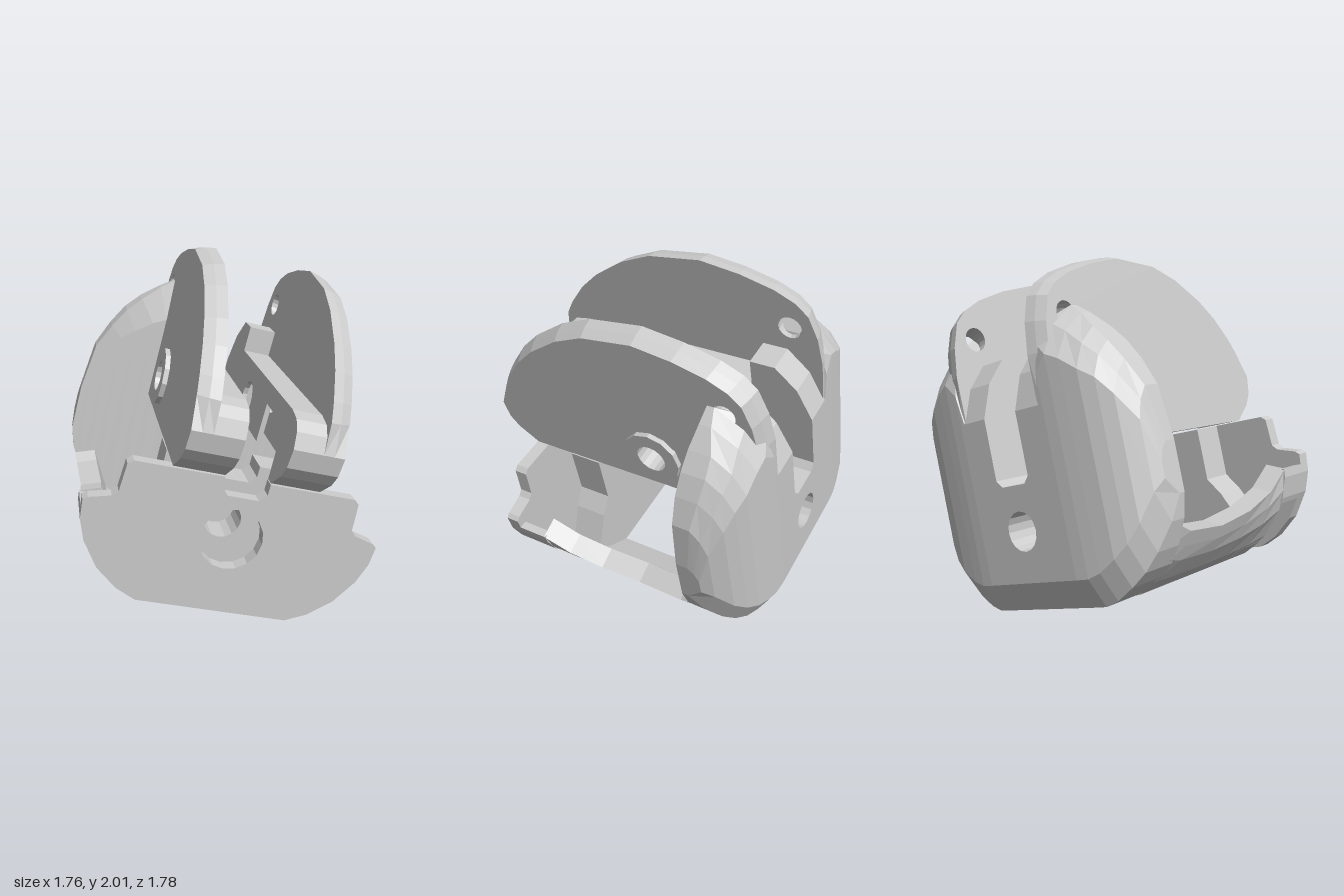
import * as THREE from 'three';

const mat = new THREE.MeshStandardMaterial({ color: 0xcccccc, flatShading: true, side: THREE.DoubleSide });

function shapeOf(points, holes = []) {
  const s = new THREE.Shape(points.map(p => new THREE.Vector2(p[0], p[1])));
  for (const [x, y, r] of holes) {
    const h = new THREE.Path();
    h.absarc(x, y, r, 0, Math.PI * 2, true);
    s.holes.push(h);
  }
  return s;
}

// Outline in (u, v) extruded from z0 to z1
function slabZ(points, z0, z1, holes) {
  return new THREE.ExtrudeGeometry(shapeOf(points, holes), { depth: z1 - z0, bevelEnabled: false, curveSegments: 8 })
    .translate(0, 0, z0);
}

// Outline in (z, v) extruded sideways from u0 to u1
function slabU(points, u0, u1, holes = [], steps = 1) {
  const s = shapeOf(points.map(p => [-p[0], p[1]]), holes.map(h => [-h[0], h[1], h[2]]));
  return new THREE.ExtrudeGeometry(s, { depth: u1 - u0, steps, bevelEnabled: false, curveSegments: 8 })
    .rotateY(Math.PI / 2).translate(u0, 0, 0);
}

// Closed loft through rings of equal point count, with fan caps
function loft(rings) {
  const n = rings[0].length, idx = [];
  for (let i = 0; i + 1 < rings.length; i++)
    for (let j = 0; j < n; j++) {
      const a = i * n + j, b = i * n + (j + 1) % n;
      idx.push(a, b, b + n, a, b + n, a + n);
    }
  const last = (rings.length - 1) * n;
  for (let j = 1; j < n - 1; j++) idx.push(0, j + 1, j, last, last + j, last + j + 1);
  const g = new THREE.BufferGeometry();
  g.setAttribute('position', new THREE.Float32BufferAttribute(rings.flat(2), 3));
  g.setIndex(idx);
  g.computeVertexNormals();
  return g;
}

// Mirror across u = 0, restoring the corner order
function mirrored(g) {
  const m = g.index ? g.toNonIndexed() : g.clone();
  const p = m.attributes.position;
  for (let i = 0; i < p.count; i += 3) {
    const v = [0, 2, 1].map(k => [-p.getX(i + k), p.getY(i + k), p.getZ(i + k)]);
    v.forEach((c, k) => p.setXYZ(i + k, ...c));
  }
  m.computeVertexNormals();
  return m;
}

const symmetric = half => [...half, ...half.slice().reverse().map(([u, v]) => [-u, v])];

// Lower outer curve shared by the front plate and side walls
const curve = [[0.44, -0.445], [0.56, -0.39], [0.69, -0.285], [0.79, -0.14], [0.835, -0.02], [0.845, 0.09]];
function outerU(v) {
  for (let i = 1; i < curve.length; i++) {
    const [u0, v0] = curve[i - 1], [u1, v1] = curve[i];
    if (v <= v1) return u0 + (u1 - u0) * (v - v0) / (v1 - v0);
  }
  return 0.845;
}

export function createModel() {
  const group = new THREE.Group(), body = new THREE.Group();
  body.name = 'body';
  group.add(body);
  const add = (name, g) => {
    const m = new THREE.Mesh(g, mat);
    m.name = name;
    body.add(m);
  };
  const pair = (name, g) => {
    add(name + 'Left', g);
    add(name + 'Right', mirrored(g));
  };

  // Front plate with stepped shoulders, centre notch and round recess
  const notch = [[0.42, 0.354], [0.13, 0.354], [0.13, 0.29], [0.09, 0.25]];
  add('frontPlate', slabZ(symmetric([...curve, [0.82, 0.11], [0.70, 0.14], [0.67, 0.17], [0.66, 0.33], [0.63, 0.354], ...notch]),
    0.63, 0.71, [[0, 0, 0.18]]));

  // Cross wall behind the strap slot
  add('crossWall', slabZ(symmetric([[0.44, -0.445], [0.55, -0.39], [0.64, -0.31], [0.50, -0.05], [0.42, 0.05], ...notch]),
    0.25, 0.45, [[0, 0, 0.11]]));

  // Ends of the strap slot
  pair('slotEnd', slabZ([[0.77, -0.17], [0.79, -0.14], [0.835, -0.02], [0.84, 0.03], [0.79, 0.03]], 0.44, 0.64));

  // Curved side walls with a dipping top edge
  const walls = [[-0.56, -0.10], [-0.45, -0.15], [-0.15, -0.18], [0.1, -0.15], [0.3, -0.08], [0.45, 0.03]];
  pair('sideWall', loft(walls.map(([z, top]) => {
    const ring = [[0.36, -0.445], [0.44, -0.445]];
    for (const t of [0.2, 0.5, 0.75, 1]) {
      const v = -0.445 + t * (top + 0.445);
      ring.push([outerU(v), v]);
    }
    const inner = outerU(top) - 0.12;
    ring.push([inner, top + 0.04], [inner * 0.6 + 0.36 * 0.4, top * 0.4 - 0.445 * 0.6]);
    return ring.map(([u, v]) => [u, v, z]);
  })));

  // Back wall: low centre with a round hole, bottom chamfer and rounded flanks
  add('backCentre', slabZ(symmetric([[0.14, -0.28], [0.14, 0.29], [0.13, 0.29], [0.09, 0.25]]),
    -0.89, -0.53, [[0, 0, 0.11]]));
  add('backChamfer', slabU([[-0.53, -0.445], [-0.8, -0.445], [-0.89, -0.28], [-0.53, -0.28]], -0.14, 0.14));
  const columns = [
    // u, bottom, top, back depth, back depth at top, front depth at top, shoulder drop
    [0.13, -0.445, 0.955, -0.89, -0.68, -0.53, 0.32], [0.31, -0.445, 0.955, -0.89, -0.68, -0.53, 0.32],
    [0.34, -0.445, 1.05, -0.89, -0.80, -0.60, 0.25], [0.42, -0.445, 1.13, -0.885, -0.62, -0.58, 0.25],
    [0.50, -0.42, 1.07, -0.875, -0.64, -0.57, 0.23], [0.60, -0.36, 0.975, -0.86, -0.68, -0.55, 0.21],
    [0.68, -0.295, 0.885, -0.83, -0.68, -0.54, 0.18], [0.75, -0.205, 0.77, -0.79, -0.66, -0.53, 0.165],
    [0.82, -0.07, 0.62, -0.72, -0.63, -0.53, 0.165], [0.855, 0.06, 0.33, -0.66, -0.6, -0.53, 0.09],
  ];
  pair('backFlank', loft(columns.map(([u, b, t, z, zt, zf, drop]) => {
    const c = Math.min(0.165, (t - b) / 3);
    return [[u, b, -0.53], [u, t - drop, -0.53], [u, t, zf], [u, t, zt],
      [u, t - drop * 0.4, zt * 0.4 + z * 0.6], [u, t - drop, z], [u, b + c, z], [u, b, z + 0.09]];
  })));

  // Tall rounded cheek plates, drilled twice, rounded along the outer top edge
  const nose = [[0.70, 0.36], [0.74, 0.39], [0.82, 0.45], [0.87, 0.52], [0.89, 0.63]];
  const cheek = [[-0.88, 0.38], ...nose, [0.86, 0.80],
    [0.80, 0.90], [0.69, 1.04], [0.56, 1.16], [0.35, 1.30], [0.15, 1.385], [-0.18, 1.43], [-0.42, 1.395],
    [-0.62, 1.34], [-0.74, 1.28], [-0.81, 1.21], [-0.86, 1.07], [-0.885, 0.9]];
  const plate = slabU(cheek, 0.30, 0.42, [[-0.18, 0.6, 0.09], [-0.7, 1.11, 0.07]], 2);
  const p = plate.attributes.position;
  for (let i = 0; i < p.count; i++) {
    const k = 0.05 * ((p.getX(i) - 0.30) / 0.12) ** 1.5;
    if (p.getY(i) > 0.75)
      p.setXYZ(i, p.getX(i), 0.7 + (p.getY(i) - 0.7) * (1 - k), -0.1 + (p.getZ(i) + 0.1) * (1 - k));
  }
  plate.computeVertexNormals();
  pair('cheekPlate', plate);

  // Raised ring around the cross hole
  const ring = Array.from({ length: 12 }, (_, i) => i * Math.PI / 6)
    .map(a => [-0.18 + 0.175 * Math.cos(a), 0.6 + 0.175 * Math.sin(a)]);
  pair('bossRing', slabU(ring, 0.41, 0.45, [[-0.18, 0.6, 0.09]]));

  // Inner rail: a high shelf along each cheek, turning down into a rounded nose
  pair('innerRail', slabU([[-0.56, 0.69], [0.50, 0.67], [0.63, 0.60], [0.64, 0.36], ...nose,
    [0.86, 0.72], [0.80, 0.77], [0.70, 0.79], [-0.56, 0.795]], 0.13, 0.31));

  // Thin inner web hanging below the shelf, pierced around the cross hole
  pair('innerWeb', slabU([[-0.56, 0.44], [0.25, 0.44], [0.25, 0.70], [-0.56, 0.70]], 0.13, 0.16, [[-0.18, 0.57, 0.11]]));

  // The whole body leans sideways
  body.rotation.z = -Math.PI / 12;
  body.position.set(-0.07, 0.54, 0);
  return group;
}
